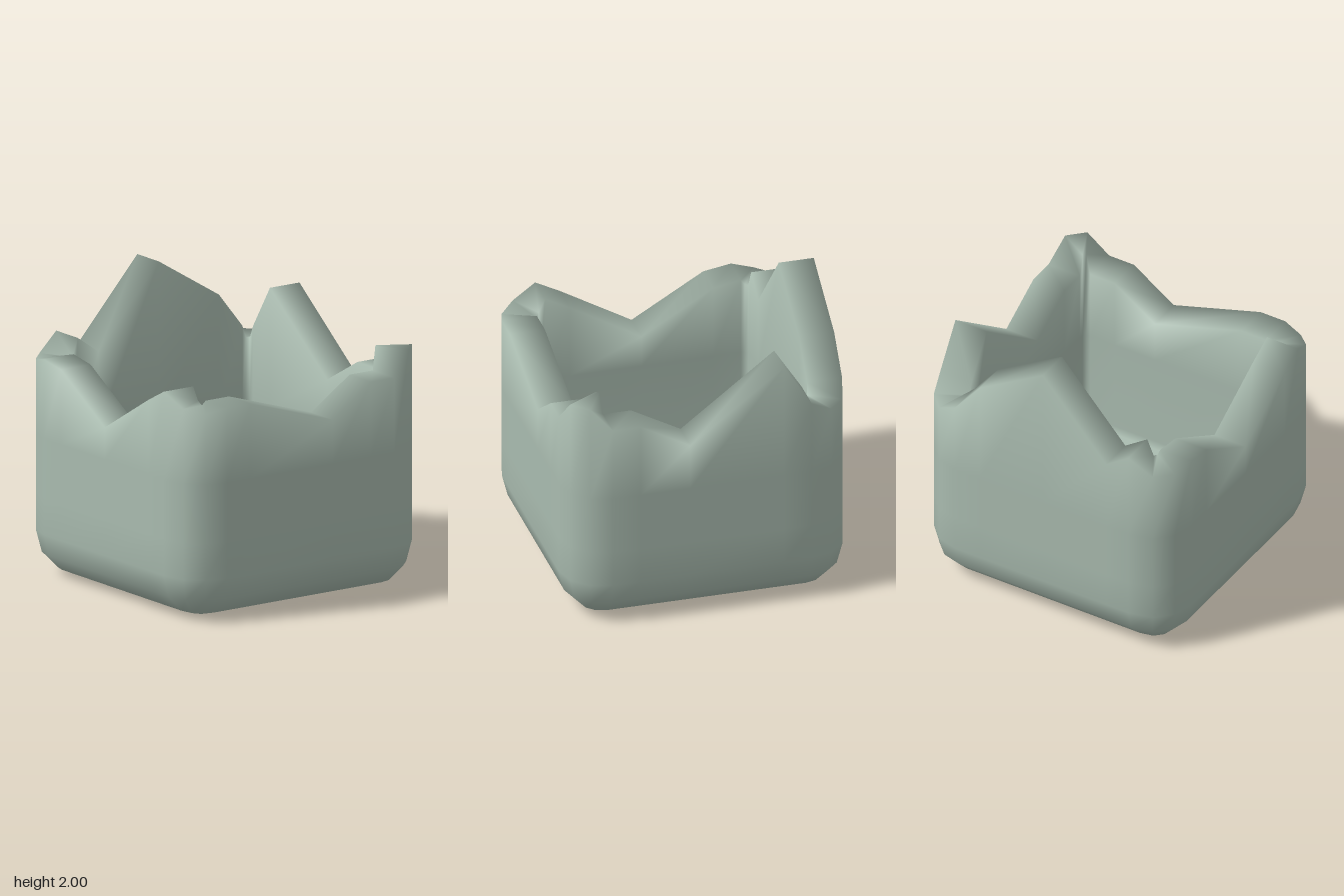
import * as THREE from 'three';

const CORE = 0.68; // half size of the square that the rounded corners grow from

// Rim stations counter-clockwise from above: each has a base point, an outward direction and a rim height
function rimStations() {
  // per side: [distance along side, height]; per corner: heights of its two middle points
  const sides = [
    { run: [[-0.68, 1.46], [-0.49, 1.46], [0.18, 1.25], [0.49, 1.46], [0.68, 1.46]], corner: [1.62, 1.62] }, // front
    { run: [[-0.68, 1.46], [-0.49, 1.46], [-0.15, 1.27], [0.49, 1.76], [0.68, 1.46]], corner: [1.38, 1.38] }, // left (+x)
    { run: [[-0.68, 1.46], [-0.49, 1.7], [0, 2], [0.49, 1.46], [0.66, 1.58]], corner: [1.46, 1.46] }, // back
    { run: [[-0.68, 1.49], [-0.49, 1.46], [0, 1.17], [0.49, 1.46], [0.66, 1.55]], corner: [1.46, 1.43] }, // right (-x)
  ];
  const stations = [];
  sides.forEach(({ run, corner }, s) => {
    const turn = s * Math.PI / 2;
    const add = (u, v, angle, top) => {
      // u runs along the side, v points outward; rotate both onto this side
      const c = Math.cos(turn), n = Math.sin(turn);
      const place = (a, b) => [a * c + b * n, b * c - a * n];
      stations.push({ base: place(u, v), dir: place(Math.sin(angle), Math.cos(angle)), top });
    };
    run.forEach(([u, top]) => add(u, CORE, 0, top));
    corner.forEach((top, k) => add(CORE, CORE, (k + 1) * Math.PI / 6, top));
  });
  return stations;
}

function vesselGeometry() {
  const stations = rimStations();
  const n = stations.length;
  // Section from the underside, up the outside, over the rim and down to the floor.
  // r: offset from the core square, y: height (null = broken rim), k: scale of the core
  const rows = [
    { k: 0, r: 0, y: 0 },
    { k: 1, r: 0, y: 0 },
    { k: 1, r: 0.145, y: 0.04 },
    { k: 1, r: 0.251, y: 0.15 },
    { k: 1, r: 0.29, y: 0.3 },
    { k: 1, r: 0.29, y: 0.55 },
    { k: 1, r: 0.29, y: 0.95 },
    { k: 1, r: 0.29, y: null },
    { k: 1, r: 0.05, y: null },
    { k: 1, r: 0.05, y: 0.95 },
    { k: 1, r: 0.05, y: 0.28 },
    { k: 1, r: 0.02, y: 0.24 },
    { k: 0, r: 0, y: 0.24 },
  ];
  const position = [];
  const index = [];
  rows.forEach(({ k, r, y }, j) => {
    stations.forEach(({ base, dir, top }, i) => {
      position.push(base[0] * k + dir[0] * r, y === null ? top : y, base[1] * k + dir[1] * r);
      if (j === rows.length - 1) return;
      const a = j * n + i, b = j * n + (i + 1) % n;
      if (rows[j].k > 0) index.push(a, b, b + n);
      if (rows[j + 1].k > 0) index.push(a, b + n, a + n);
    });
  });
  const geometry = new THREE.BufferGeometry();
  geometry.setAttribute('position', new THREE.Float32BufferAttribute(position, 3));
  geometry.setIndex(index);
  geometry.computeVertexNormals();
  return geometry;
}

export function createModel() {
  const group = new THREE.Group();
  group.name = 'brokenVessel';
  // Thick-walled square vessel with a jagged rim
  const vessel = new THREE.Mesh(vesselGeometry(), new THREE.MeshStandardMaterial({ color: 0xa9bbaf }));
  vessel.name = 'vesselShell';
  group.add(vessel);
  return group;
}
